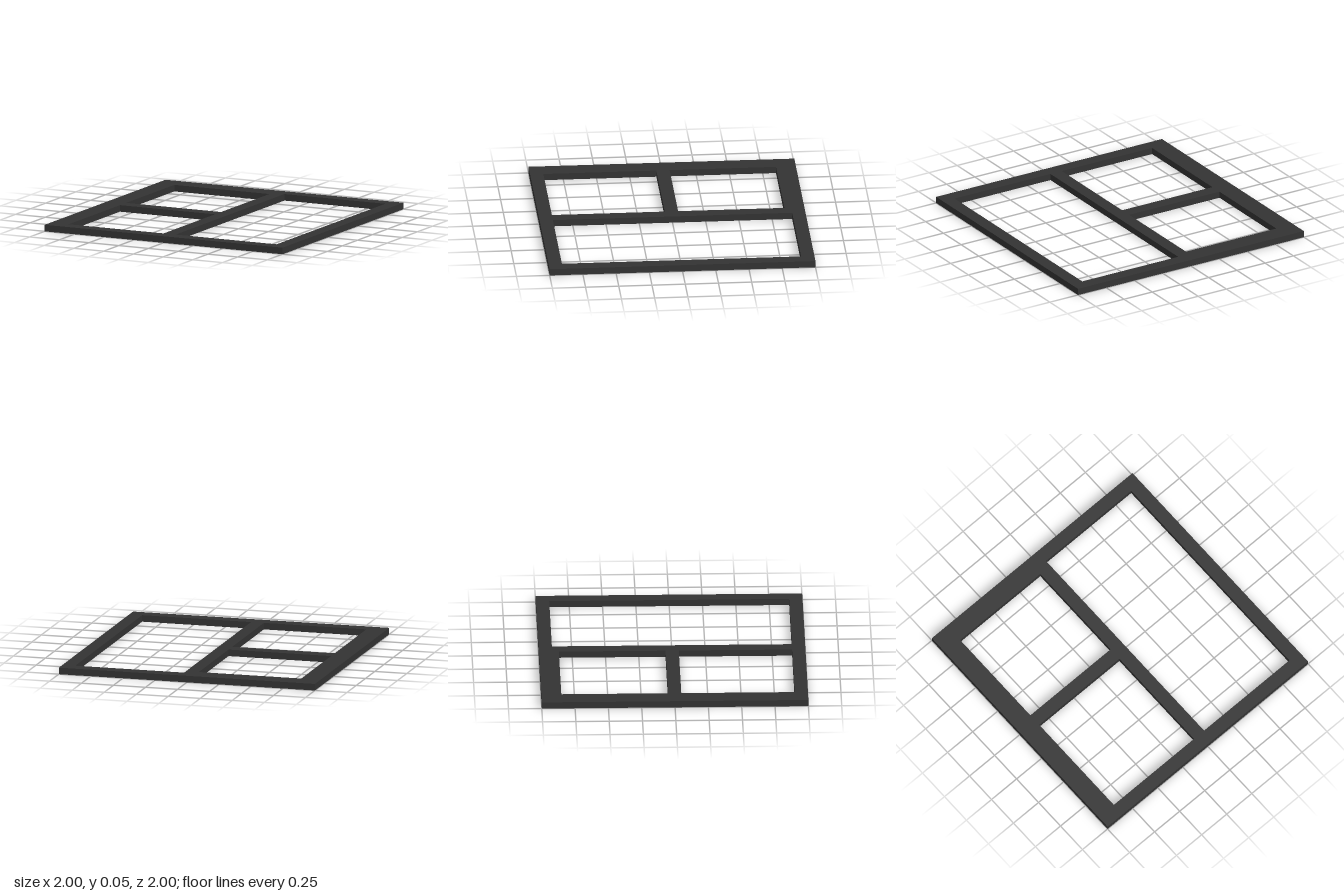
import * as THREE from 'three';

// Adds a rectangle to a path; z runs towards the front
function rect(path, x0, x1, z0, z1) {
  path.moveTo(x0, -z1);
  path.lineTo(x1, -z1);
  path.lineTo(x1, -z0);
  path.lineTo(x0, -z0);
  path.closePath();
  return path;
}

export function createModel() {
  const group = new THREE.Group();
  group.name = 'dividedFrame';
  const charcoal = new THREE.MeshStandardMaterial({ color: 0x333333 });
  charcoal.name = 'charcoal';

  // Flat square frame with three openings: [x0, x1, z0, z1]
  const outline = rect(new THREE.Shape(), -1, 1, -1, 1);
  const openings = [
    [-0.85, -0.05, -0.85, -0.05], // back right
    [-0.85, -0.05, 0.05, 0.9], // front right
    [0.05, 0.9, -0.9, 0.9], // tall left
  ];
  for (const o of openings) outline.holes.push(rect(new THREE.Path(), ...o));

  const geometry = new THREE.ExtrudeGeometry(outline, { depth: 0.05, bevelEnabled: false });
  geometry.rotateX(-Math.PI / 2); // lay flat on the ground
  const frame = new THREE.Mesh(geometry, charcoal);
  frame.name = 'frame';
  group.add(frame);
  return group;
}
